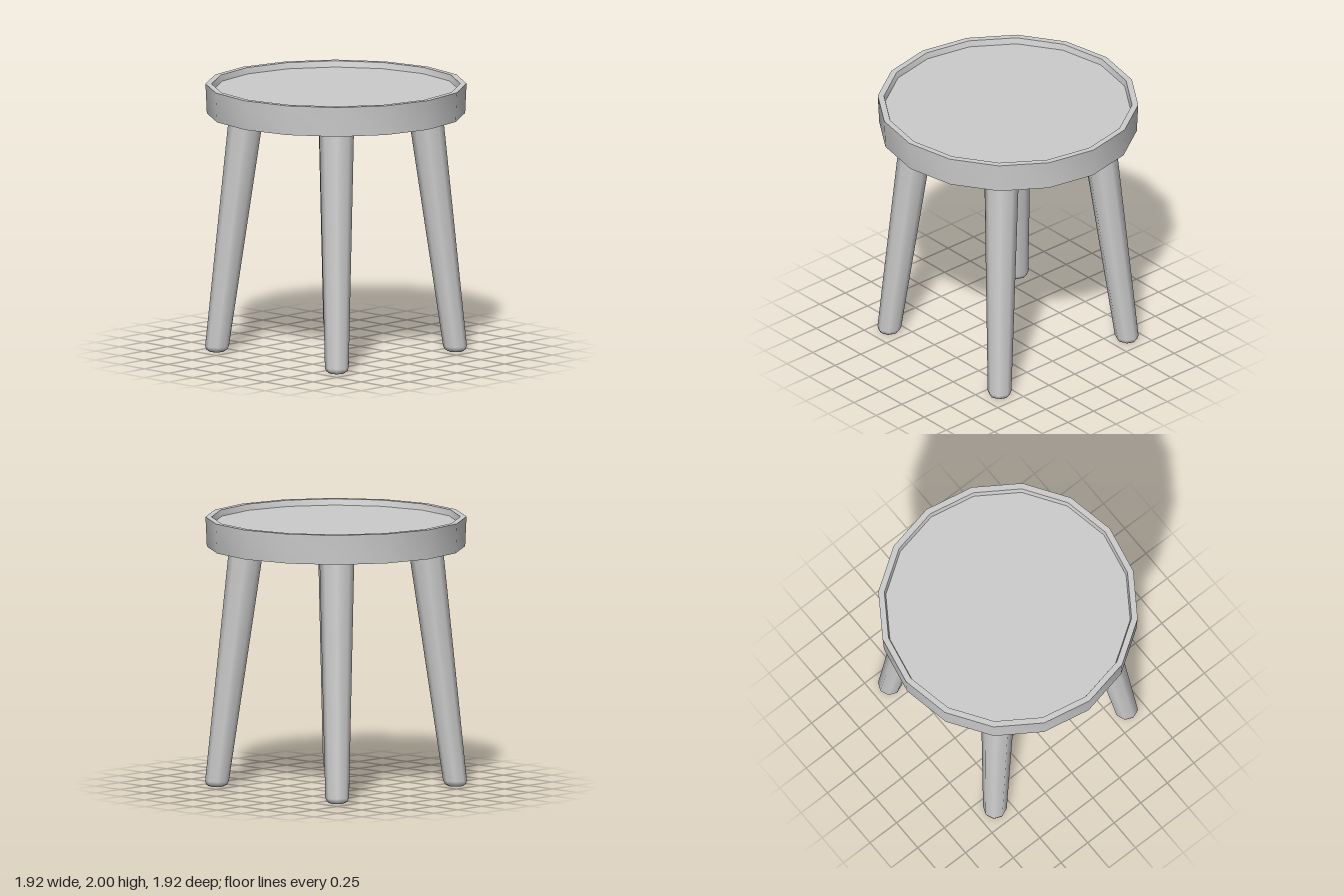
import * as THREE from 'three';
import { toCreasedNormals } from 'three/addons/utils/BufferGeometryUtils.js';

const profile = (pairs) => pairs.map(([r, y]) => new THREE.Vector2(r, y));

export function createModel() {
  const stool = new THREE.Group();
  stool.name = 'stool';
  const grey = new THREE.MeshStandardMaterial({ color: 0xcccccc });
  grey.name = 'light grey';

  // Sixteen-sided seat with a raised rim around a shallow recess
  const seatGeometry = new THREE.LatheGeometry(profile([
    [0, 1.78], [0.95, 1.78], [0.96, 2], [0.915, 2], [0.904, 1.955], [0, 1.955],
  ]), 16);
  const seat = new THREE.Mesh(toCreasedNormals(seatGeometry, Math.PI / 6), grey);
  seat.name = 'seat';
  stool.add(seat);

  // Four tapered legs with rounded feet, leaning inwards towards the seat
  const legProfile = profile([
    [0, 0], [0.058, 0], [0.077, 0.012], [0.0875, 0.04], [0.128, 1.79],
  ]);
  const footOffset = 0.622;
  const lean = 0.088;
  for (const sz of [1, -1]) {
    for (const sx of [1, -1]) {
      const legGeometry = new THREE.LatheGeometry(legProfile, 8);
      legGeometry.applyMatrix4(new THREE.Matrix4().set(
        1, -sx * lean, 0, sx * footOffset,
        0, 1, 0, 0,
        0, -sz * lean, 1, sz * footOffset,
        0, 0, 0, 1,
      ));
      const leg = new THREE.Mesh(legGeometry, grey);
      leg.name = (sz > 0 ? 'front' : 'back') + (sx > 0 ? 'Left' : 'Right') + 'Leg';
      stool.add(leg);
    }
  }
  return stool;
}
